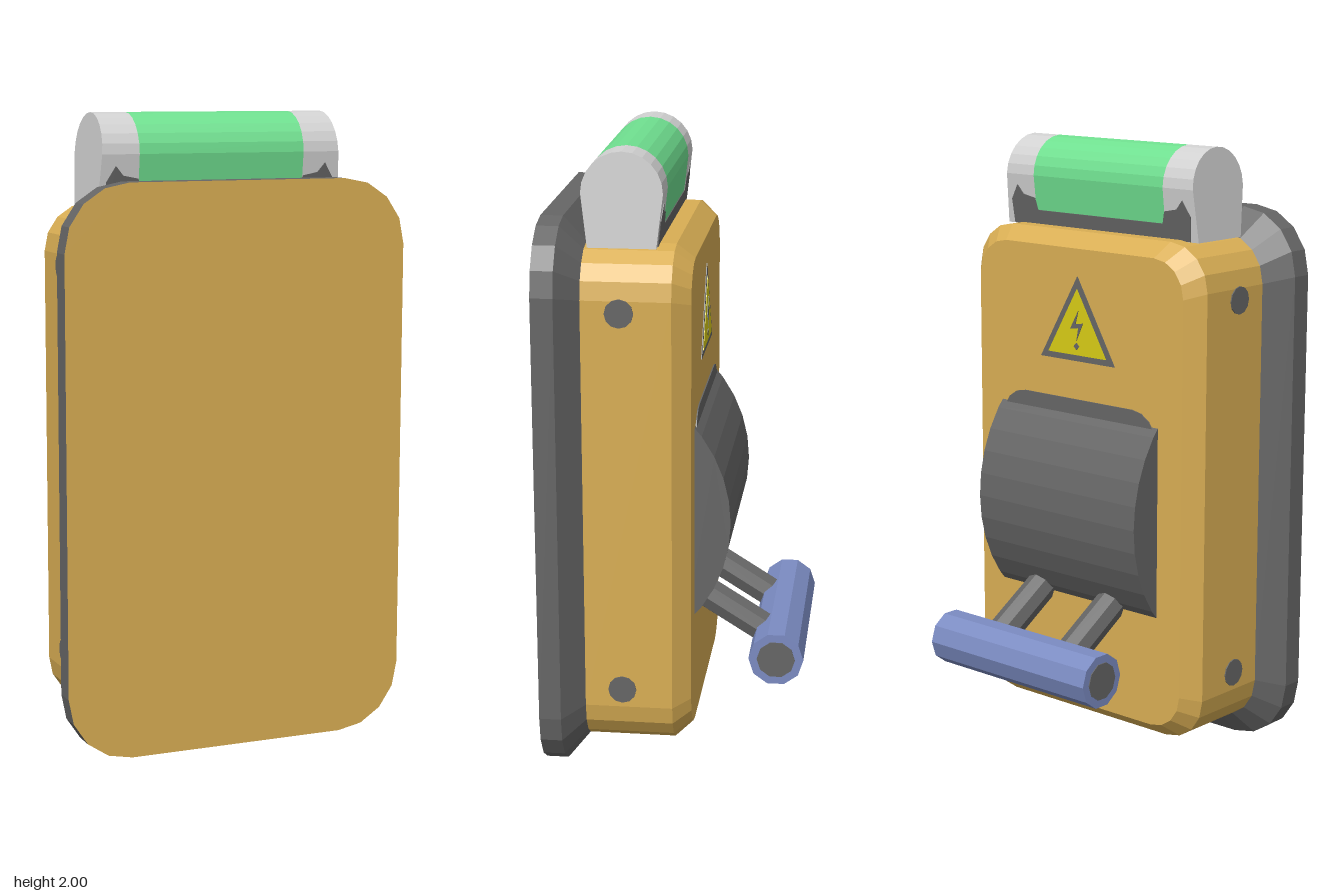
import * as THREE from 'three';

const mat = (name, color, opts = {}) => {
  const m = new THREE.MeshStandardMaterial({ color, flatShading: true, ...opts });
  m.name = name;
  return m;
};

// Rounded rectangle outline, counter-clockwise, as Vector2 points
function roundRect(hw, y0, y1, r, n = 4) {
  const pts = [];
  const corners = [[hw - r, y0 + r, -1], [hw - r, y1 - r, 0], [-hw + r, y1 - r, 1], [-hw + r, y0 + r, 2]];
  for (const [cx, cy, q] of corners) {
    for (let i = 0; i <= n; i++) {
      const a = (q + i / n) * Math.PI / 2;
      pts.push(new THREE.Vector2(cx + r * Math.cos(a), cy + r * Math.sin(a)));
    }
  }
  return pts;
}

// Skin between rounded rectangles [z, halfWidth, y0, y1, radius], front to back
function loft(rings) {
  const pos = [];
  const loops = rings.map(([z, ...s]) => roundRect(...s).map((p) => [p.x, p.y, z]));
  for (let i = 0; i + 1 < loops.length; i++) {
    const a = loops[i], b = loops[i + 1];
    for (let j = 0; j < a.length; j++) {
      const k = (j + 1) % a.length;
      pos.push(...a[j], ...b[j], ...b[k], ...a[j], ...b[k], ...a[k]);
    }
  }
  const g = new THREE.BufferGeometry();
  g.setAttribute('position', new THREE.Float32BufferAttribute(pos, 3));
  g.computeVertexNormals();
  return g;
}

// Side profile (u points to the back) extruded along x between x0 and x1
function alongX(points, x0, x1) {
  const g = new THREE.ExtrudeGeometry(new THREE.Shape(points), { depth: x1 - x0, bevelEnabled: false });
  return g.rotateY(Math.PI / 2).translate(x0, 0, 0);
}

const polygon = (list) => new THREE.Shape(list.map(([x, y]) => new THREE.Vector2(x, y)));
const plate = (shape, depth) => new THREE.ExtrudeGeometry(shape, { depth, bevelEnabled: false });

export function createModel() {
  const root = new THREE.Group();
  const ochre = mat('ochre', 0xd9ae54);
  const darkGrey = mat('darkGrey', 0x666666);
  const green = mat('green', 0x70e090);
  const lightGrey = mat('lightGrey', 0xd2d2d2);
  const blue = mat('blue', 0x7b8bc2);
  const yellow = mat('yellow', 0xd8cc16);

  const add = (name, geo, material, parent = root) => {
    const m = new THREE.Mesh(geo, material);
    m.name = name;
    parent.add(m);
    return m;
  };

  // Wall plate: ochre face with a dark chamfered rim
  const outer = [0.57, 0, 1.795, 0.21];
  const inner = [0.492, 0.08, 1.713, 0.15];
  const back = [0.44, 0.125, 1.665, 0.12];
  add('wallPlateFace', new THREE.ShapeGeometry(new THREE.Shape(roundRect(...outer))).translate(0, 0, 0.412), ochre);
  add('wallPlateRim', loft([[0.412, ...outer], [0.342, ...outer], [0.274, ...inner]]), darkGrey);

  // Housing with a chamfered back edge
  add('housing', loft([[0.274, ...inner], [-0.005, ...inner], [-0.06, ...back]]), ochre);
  add('housingBack', new THREE.ShapeGeometry(new THREE.Shape(roundRect(...back))).rotateY(Math.PI).translate(0, 0, -0.06), ochre);

  // Side screws
  for (const s of [-1, 1]) {
    for (const y of [0.29, 1.525]) {
      add('sideScrew', new THREE.CylinderGeometry(0.045, 0.045, 0.008, 12).rotateZ(Math.PI / 2), darkGrey)
        .position.set(s * 0.492, y, 0.155);
    }
  }

  // Switch drum: a segment of a wide cylinder
  const R = 0.493, half = 0.78, drum = [];
  for (let i = 0; i <= 10; i++) {
    const a = -half + (2 * half * i) / 10;
    drum.push(new THREE.Vector2(R * Math.cos(a) - 0.318, 0.81 + R * Math.sin(a)));
  }
  add('switchDrum', alongX(drum, -0.342, 0.342), darkGrey);
  add('drumSurround', plate(new THREE.Shape(roundRect(0.335, 0.55, 1.17, 0.1)), 0.006).translate(0, 0, -0.064), darkGrey);

  // Lever arms and grip
  const grip = new THREE.Vector3(0, 0.35, -0.324);
  const dir = new THREE.Vector3(0, 0.53, 0.848);
  for (const s of [-1, 1]) {
    const arm = add('leverArm', new THREE.CylinderGeometry(0.052, 0.052, 0.36, 8), darkGrey);
    arm.quaternion.setFromUnitVectors(new THREE.Vector3(0, 1, 0), dir.clone().normalize());
    arm.position.copy(grip).addScaledVector(dir, 0.21).setX(s * 0.155);
  }
  add('grip', new THREE.CylinderGeometry(0.089, 0.089, 0.68, 10).rotateZ(Math.PI / 2), blue).position.copy(grip);
  add('gripCore', new THREE.CylinderGeometry(0.062, 0.062, 0.686, 10).rotateZ(Math.PI / 2), darkGrey).position.copy(grip);

  // Lamp on top: green tube with pale ends that flare towards the base
  const lamp = new THREE.Group();
  lamp.name = 'lamp';
  lamp.position.z = 0.156;
  root.add(lamp);
  const profile = [new THREE.Vector2(-0.106, 1.708), new THREE.Vector2(0.106, 1.708)];
  for (let i = 0; i <= 12; i++) {
    const a = (Math.PI * i) / 12;
    profile.push(new THREE.Vector2(0.126 * Math.cos(a), 1.874 + 0.126 * Math.sin(a)));
  }
  add('lampLens', alongX(profile, -0.278, 0.278), green, lamp);
  for (const turn of [0, Math.PI]) {
    const g = alongX(profile, 0.278, 0.393);
    const p = g.attributes.position;
    for (let i = 0; i < p.count; i++) {
      if (p.getX(i) > 0.3) p.setX(i, 0.393 + (2 - p.getY(i)) * 0.06);
    }
    add('lampEnd', g, lightGrey, lamp).rotation.y = turn;

    // Dark trim along the foot of the lamp
    const side = new THREE.Group();
    side.rotation.y = turn;
    lamp.add(side);
    const trim = polygon([[-0.38, 0], [0.38, 0], [0.385, 0.08], [0.355, 0.13], [0.33, 0.1], [0.28, 0.09], [0.27, 0.05],
      [-0.27, 0.05], [-0.28, 0.09], [-0.33, 0.1], [-0.355, 0.13], [-0.385, 0.08]]);
    const t = add('lampTrim', plate(trim, 0.006), darkGrey, side);
    t.position.set(0, 1.71, 0.103);
    t.rotation.x = 0.12;
  }

  // Warning triangle on the back: border, field, bolt and dot
  const sign = new THREE.Group();
  sign.name = 'warningSign';
  sign.position.set(0, 1.39, -0.06);
  sign.rotation.y = Math.PI;
  root.add(sign);
  const tri = (r) => polygon([[0, r], [-r * 0.87, -r / 2], [r * 0.87, -r / 2]]);
  add('signBorder', plate(tri(0.185), 0.003), darkGrey, sign);
  add('signField', plate(tri(0.145), 0.005), yellow, sign);
  const bolt = polygon([[0.008, 0.075], [-0.028, 0.012], [0.008, 0.018], [0, -0.025], [0.028, 0.035], [-0.004, 0.03]]);
  add('signBolt', plate(bolt, 0.007), darkGrey, sign);
  add('signDot', plate(polygon([[0, -0.055], [0.012, -0.043], [0, -0.031], [-0.012, -0.043]]), 0.007), darkGrey, sign);

  return root;
}
